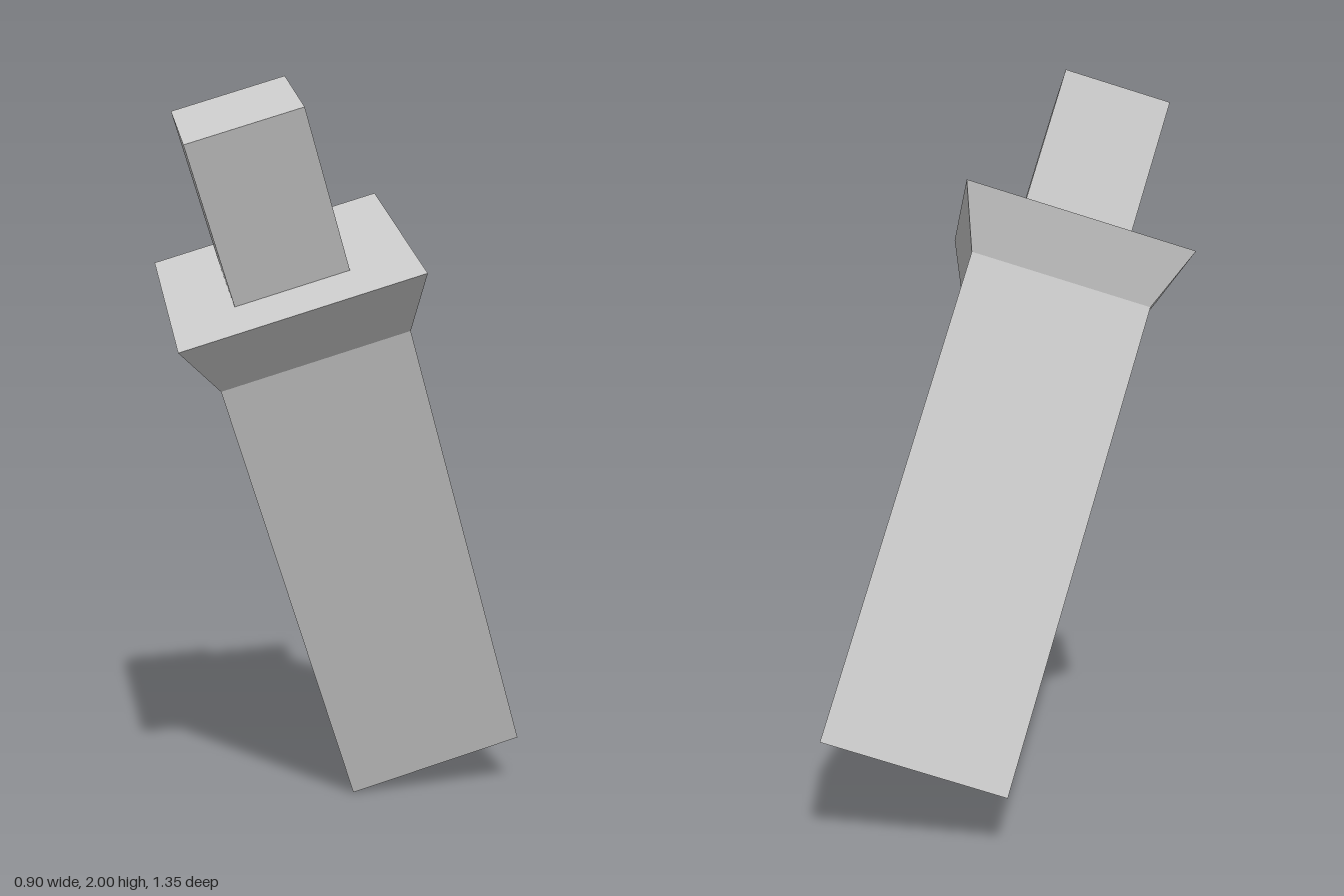
import * as THREE from 'three';

const material = new THREE.MeshStandardMaterial({ color: 0xcccccc, flatShading: true });

// Four-sided solid or shell from a profile of [corner radius, height along the axis]
function squarePart(name, profile) {
  const points = profile.map(([r, y]) => new THREE.Vector2(r, y));
  const geometry = new THREE.LatheGeometry(points, 4).toNonIndexed();
  geometry.computeVertexNormals();
  const mesh = new THREE.Mesh(geometry, material);
  mesh.name = name;
  return mesh;
}

export function createModel() {
  const model = new THREE.Group();
  model.name = 'leaningPost';

  const shaftR = 0.352, collarR = 0.448, pegR = 0.214;
  const shaftTop = 1.336, collarTop = 1.501, pegTop = 1.936;

  const post = new THREE.Group();
  post.name = 'post';
  post.add(
    // Square shaft with a closed foot
    squarePart('shaft', [[0, 0], [shaftR, 0], [shaftR, shaftTop]]),
    // Flared collar with a flat ledge around the peg
    squarePart('collar', [[shaftR, shaftTop], [collarR, collarTop], [pegR, collarTop]]),
    // Narrow peg with a closed top
    squarePart('peg', [[pegR, collarTop], [pegR, pegTop], [0, pegTop]]),
  );

  // Lean towards the front, standing on the front corner of the foot
  post.rotation.set(0.423, 0.018, 0);
  post.position.set(0, 0.1445, -0.35);
  model.add(post);
  return model;
}
